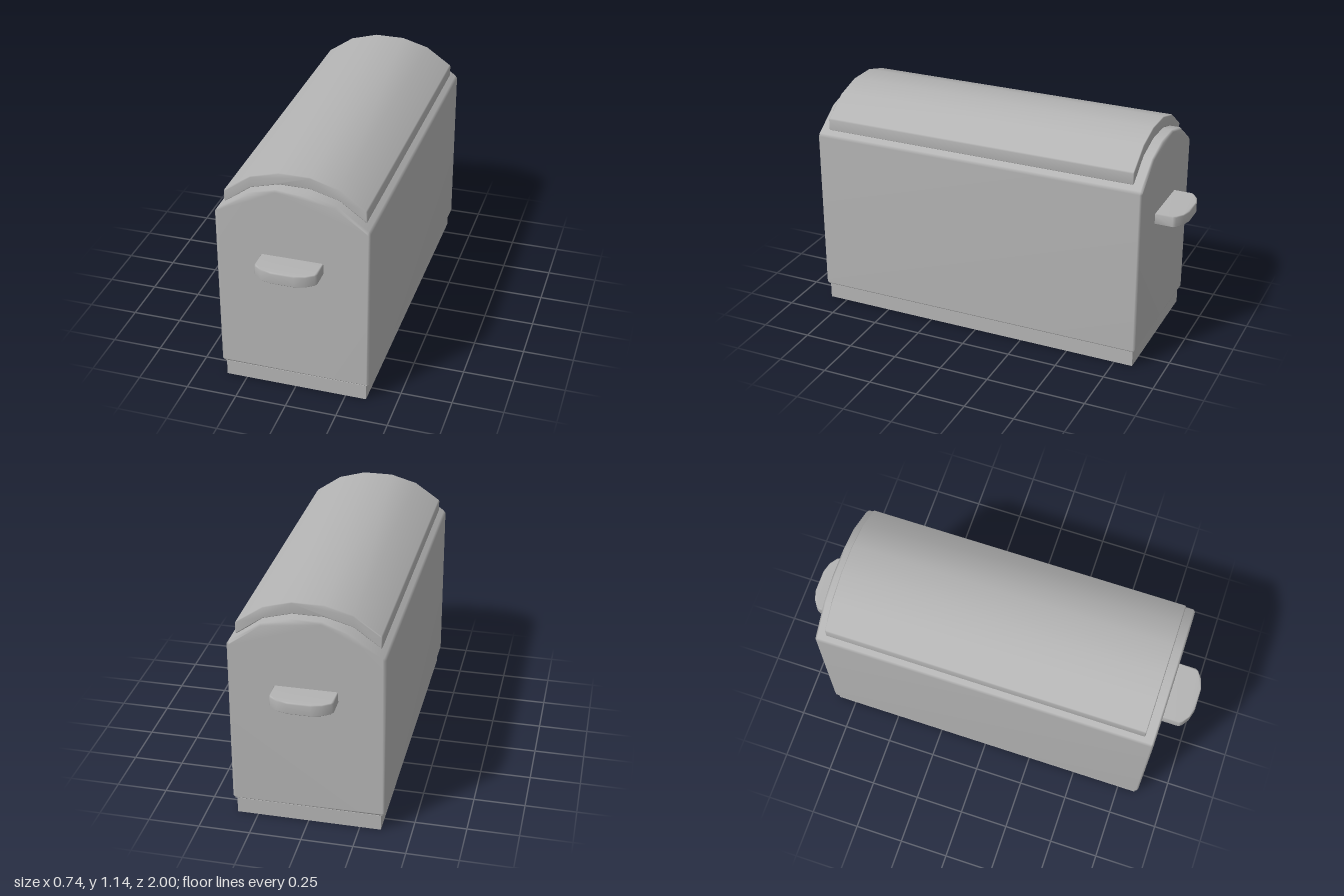
import * as THREE from 'three';
import { mergeVertices } from 'three/addons/utils/BufferGeometryUtils.js';

const grey = new THREE.MeshStandardMaterial({ color: 0xb4b4b4, side: THREE.DoubleSide });
grey.name = 'plain grey';

// Shape from a list of points for one half, mirrored in x
function mirroredShape(half) {
  const left = half.slice().reverse().map(([x, y]) => [-x, y]);
  return new THREE.Shape([...half, ...left].map(([x, y]) => new THREE.Vector2(x, y)));
}

// Prism centred on z with bevelled ends
function prism(half, halfDepth, bevel) {
  const g = new THREE.ExtrudeGeometry(mirroredShape(half), {
    depth: 2 * (halfDepth - bevel), bevelEnabled: true, bevelSize: bevel,
    bevelThickness: bevel, bevelOffset: -bevel, bevelSegments: 1,
  });
  return g.translate(0, 0, bevel - halfDepth);
}

// Keep only the triangles whose face normal passes the test
function keepFaces(geometry, test) {
  const g = geometry.index ? geometry.toNonIndexed() : geometry;
  const p = g.attributes.position, out = [];
  const tri = new THREE.Triangle(), n = new THREE.Vector3();
  for (let i = 0; i < p.count; i += 3) {
    tri.setFromAttributeAndIndices(p, i, i + 1, i + 2);
    tri.getNormal(n);
    if (test(n)) for (const v of [tri.a, tri.b, tri.c]) out.push(v.x, v.y, v.z);
  }
  const result = new THREE.BufferGeometry();
  result.setAttribute('position', new THREE.Float32BufferAttribute(out, 3));
  return result;
}

// Area-weighted smooth normals: soft bevels, flat large faces
function soften(geometry) {
  const g = geometry.clone();
  g.deleteAttribute('uv');
  g.deleteAttribute('normal');
  const merged = mergeVertices(g, 1e-4);
  merged.computeVertexNormals();
  return merged;
}

function rectangle(Type, x, z) {
  return new Type([[-x, -z], [x, -z], [x, z], [-x, z]].map(([a, b]) => new THREE.Vector2(a, b)));
}

export function createModel() {
  const model = new THREE.Group();
  model.name = 'chest';
  const add = (name, geometry) => {
    const mesh = new THREE.Mesh(geometry, grey);
    mesh.name = name;
    model.add(mesh);
    return mesh;
  };

  // Hollow body with an arched roof, open underneath
  const body = prism([
    [0.36, 0.085], [0.37, 0.095], [0.37, 0.925], [0.36, 0.94], [0.21, 1.045], [0.075, 1.082],
  ], 0.857, 0.01);
  add('body', soften(keepFaces(body, n => n.y > -0.9)));

  // Open plinth and the narrow ledge that joins it to the body
  const plinth = new THREE.BoxGeometry(0.704, 0.085, 1.686).translate(0, 0.0425, 0);
  const walls = keepFaces(plinth, n => Math.abs(n.y) < 0.5);
  walls.computeVertexNormals();
  add('plinth', walls);
  const ledge = rectangle(THREE.Shape, 0.36, 0.85);
  ledge.holes.push(rectangle(THREE.Path, 0.352, 0.843));
  add('ledge', new THREE.ShapeGeometry(ledge).rotateX(Math.PI / 2).translate(0, 0.085, 0));

  // Curved lid slab lying on the roof
  const lid = prism([
    [0.075, 1.085], [0.21, 1.048], [0.335, 0.955], [0.34, 0.96],
    [0.34, 1.012], [0.335, 1.019], [0.21, 1.105], [0.075, 1.143],
  ], 0.806, 0.004);
  add('lid', soften(lid));

  // Rounded handle on each end
  const handle = prism([
    [0.15, 0.85], [0.15, 0.945], [0.142, 0.96], [0.105, 0.986], [0.055, 1.0],
  ], 0.0285, 0.005).rotateX(Math.PI / 2).translate(0, 0.7085, 0);
  const softHandle = soften(handle);
  add('frontHandle', softHandle);
  add('backHandle', softHandle).rotation.y = Math.PI;

  return model;
}
